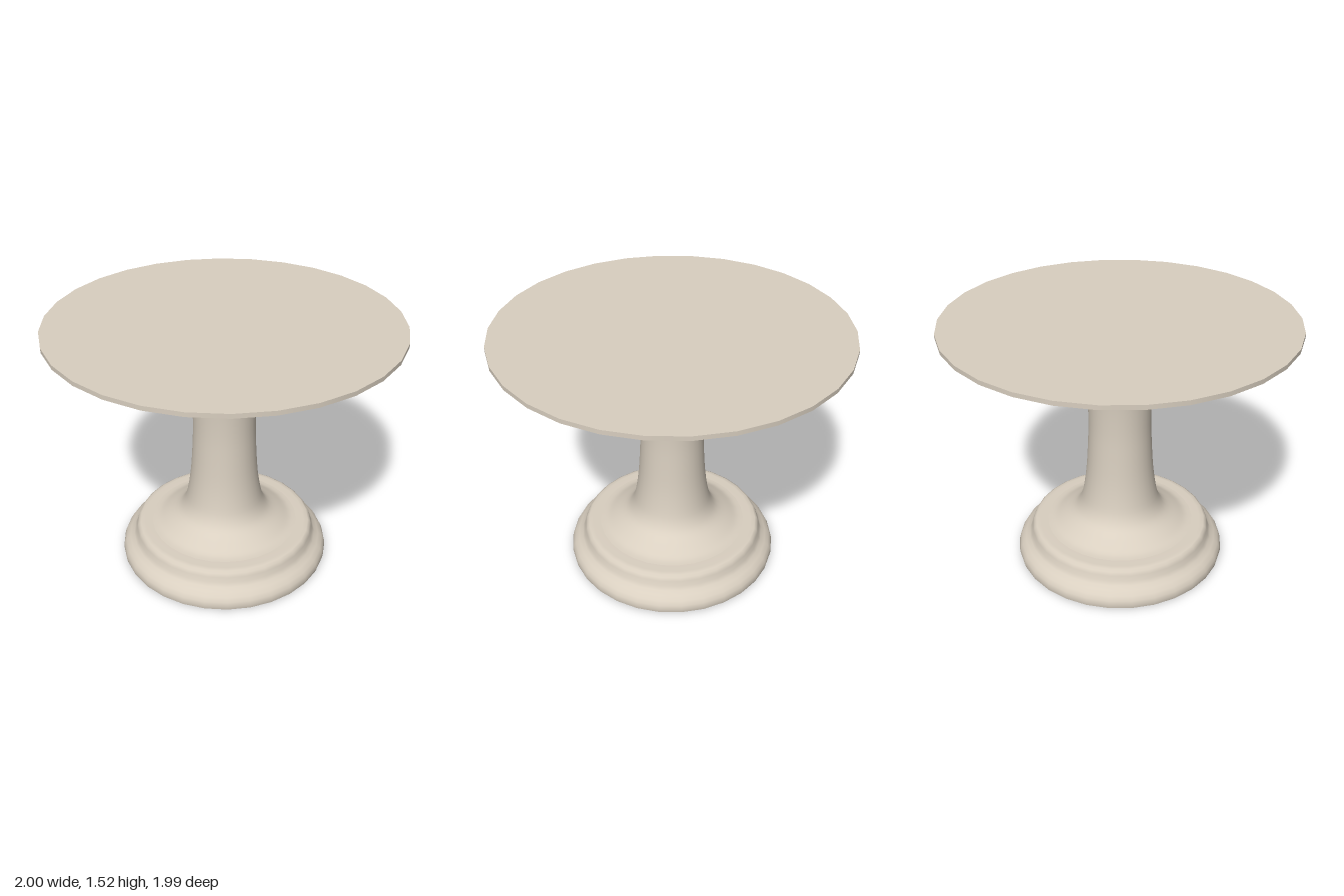
import * as THREE from 'three';

const SIDES = 30;

export function createModel() {
  const group = new THREE.Group();
  const stone = new THREE.MeshStandardMaterial({ color: 0xd9cfc0 });
  stone.name = 'pale stone';

  const add = (name, geometry, y) => {
    const mesh = new THREE.Mesh(geometry, stone);
    mesh.name = name;
    mesh.position.y = y;
    group.add(mesh);
    return mesh;
  };
  const turned = (points) =>
    new THREE.LatheGeometry(points.map(([r, y]) => new THREE.Vector2(r, y)), SIDES).rotateY(Math.PI / 2);

  // Thin round top
  add('tableTop', new THREE.CylinderGeometry(1, 1, 0.025, SIDES).rotateY(Math.PI / 2), 1.5125);

  // Stepped foot moulding
  add('footMoulding', turned([
    [0.635, 0], [0.64, 0.025], [0.634, 0.05], [0.62, 0.075], [0.595, 0.095], [0.57, 0.112],
    [0.556, 0.135], [0.549, 0.165], [0.54, 0.187], [0.525, 0.197], [0.5, 0.2], [0.4, 0.2],
  ]), 0);

  // Flared column, smoothed through a few profile points
  const flare = new THREE.SplineCurve([
    [0.45, 0.2], [0.41, 0.207], [0.36, 0.233], [0.29, 0.277], [0.25, 0.33], [0.225, 0.41],
    [0.203, 0.56], [0.19, 0.75], [0.185, 0.9], [0.189, 1.08], [0.204, 1.24], [0.226, 1.33],
    [0.262, 1.41], [0.31, 1.464], [0.36, 1.49], [0.41, 1.5],
  ].map(([r, y]) => new THREE.Vector2(r, y)));
  add('column', turned(flare.getPoints(45).map((p) => [p.x, p.y])), 0);

  // Flat underside of the foot
  add('footUnderside', new THREE.CircleGeometry(0.635, SIDES).rotateX(Math.PI / 2), 0);

  return group;
}
